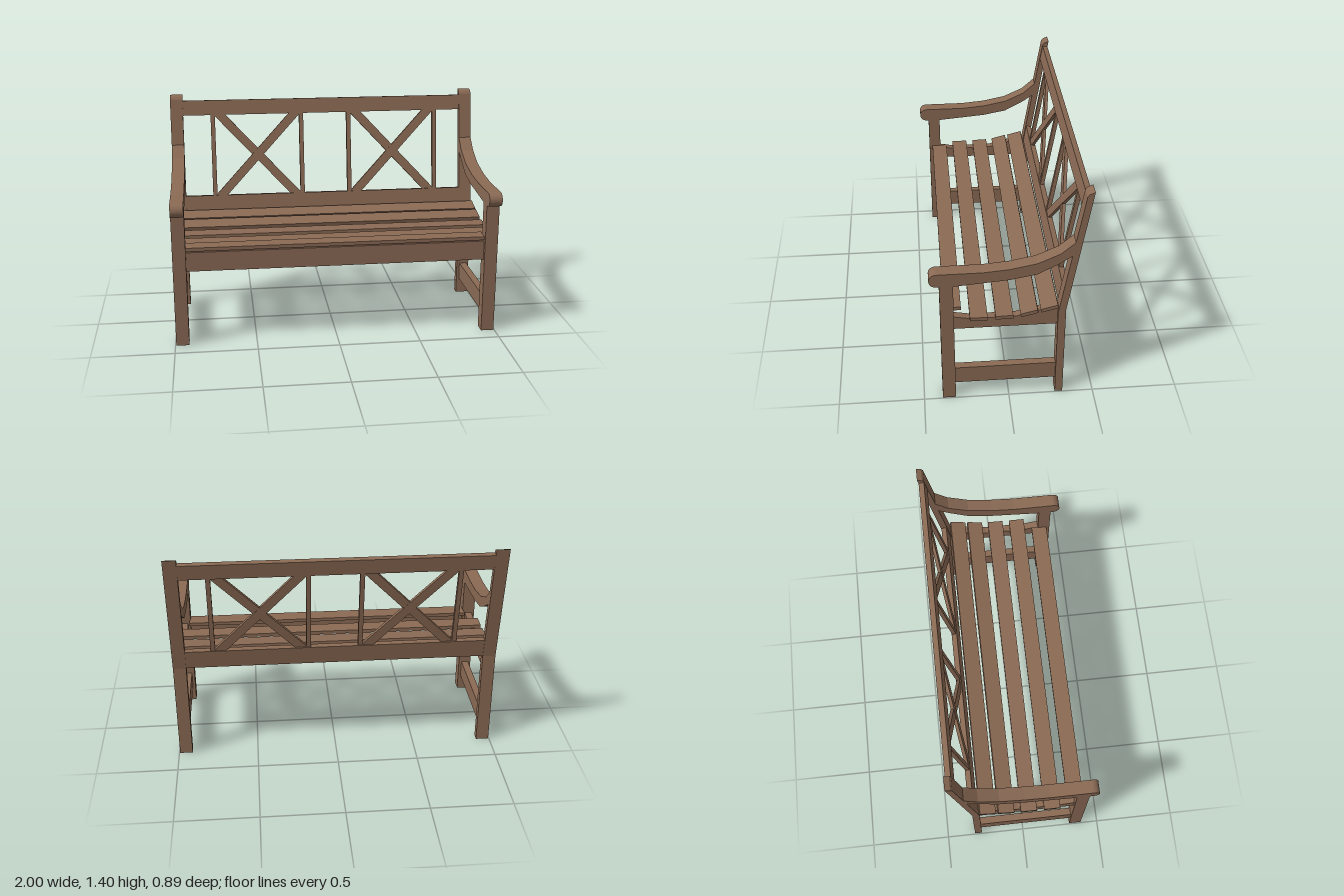
import * as THREE from 'three';

export function createModel() {
  const bench = new THREE.Group();
  bench.name = 'gardenBench';
  const wood = new THREE.MeshStandardMaterial({ color: 0x8a6a54 });
  wood.name = 'brown wood';

  const add = (name, geometry, parent = bench) => {
    const mesh = new THREE.Mesh(geometry, wood);
    mesh.name = name;
    parent.add(mesh);
    return mesh;
  };
  const outline = (points) => new THREE.Shape(points.map(([a, b]) => new THREE.Vector2(a, b)));

  // Extrude a (z, y) side profile across x, centred on the given x
  const sideProfile = (name, shape, width, x) => {
    const g = new THREE.ExtrudeGeometry(shape, { depth: width, bevelEnabled: false, curveSegments: 8 });
    g.translate(0, 0, -width / 2).rotateY(-Math.PI / 2).translate(x, 0, 0);
    return add(name, g);
  };
  const box = (name, w, h, d, x, y, z, parent) => {
    const mesh = add(name, new THREE.BoxGeometry(w, h, d), parent);
    mesh.position.set(x, y, z);
    return mesh;
  };

  // Profiles shared by both ends
  const rearPost = outline([
    [-0.32, 0], [-0.275, 0], [-0.275, 0.6], [-0.28, 0.63], [-0.404, 1.37],
    [-0.415, 1.385], [-0.445, 1.397], [-0.32, 0.62],
  ]);
  const sideRail = outline([
    [0.32, 0.51], [0.32, 0.597], [0.29, 0.592], [0.22, 0.578], [-0.04, 0.58],
    [-0.16, 0.613], [-0.28, 0.63], [-0.28, 0.51],
  ]);
  const arm = outline([
    [-0.36, 1.085], [-0.275, 1.01], [-0.15, 0.953], [0, 0.923], [0.15, 0.91], [0.405, 0.91],
  ]);
  arm.absarc(0.405, 0.8675, 0.0425, Math.PI / 2, -Math.PI / 2, true);
  [[0.31, 0.825], [0, 0.852], [-0.15, 0.88], [-0.275, 0.947], [-0.345, 0.995]]
    .forEach(([z, y]) => arm.lineTo(z, y));

  // End frames
  for (const [side, s] of [['left', 1], ['right', -1]]) {
    const x = 0.955 * s;
    box(side + 'FrontLeg', 0.08, 0.83, 0.077, x, 0.415, 0.352);
    sideProfile(side + 'RearPost', rearPost, 0.08, x);
    sideProfile(side + 'SeatRail', sideRail, 0.045, x);
    sideProfile(side + 'Armrest', arm, 0.08, x);
    box(side + 'Stretcher', 0.045, 0.112, 0.6, x, 0.156, 0.02);
  }

  // Seat: apron and slats [z, y, tilt, length]
  box('frontApron', 1.84, 0.12, 0.04, 0, 0.529, 0.345);
  [
    [0.32, 0.608, 0, 1.84],
    [0.174, 0.589, 0, 2],
    [0.029, 0.592, 0.03, 2],
    [-0.112, 0.611, 0.25, 2],
    [-0.226, 0.637, 0.25, 2],
  ].forEach(([z, y, tilt, length], i) => {
    box('seatSlat' + (i + 1), length, 0.022, 0.1, 0, y, z).rotation.x = tilt;
  });

  // Leaning backrest, its local y measured upward from the bend in the posts
  const back = new THREE.Group();
  back.name = 'backrest';
  const lean = Math.atan(0.165), base = 0.62;
  back.position.set(0, base, -0.3);
  back.rotation.x = -lean;
  back.scale.y = 1 / Math.cos(lean);
  bench.add(back);

  const low = 0.745 - base, high = 1.265 - base;
  box('lowerBackRail', 1.84, 0.12, 0.033, 0, low - 0.06, 0, back);
  box('topBackRail', 1.84, 0.095, 0.033, 0, high + 0.0475, 0, back);

  // Two crossed panels, each between a pair of uprights
  for (const [panel, cx] of [['left', 0.457], ['right', -0.435]]) {
    for (const s of [-1, 1]) {
      box(panel + 'PanelUpright', 0.028, high - low + 0.01, 0.025, cx + s * 0.289, (low + high) / 2, 0, back);
      const a = 0.245 * s, w = 0.038;
      const brace = outline([[-a - w, low], [-a + w, low], [a + w, high], [a - w, high]]);
      const g = new THREE.ExtrudeGeometry(brace, { depth: 0.02, bevelEnabled: false });
      // The second brace sits a hair back so the faces never coincide
      g.translate(cx, 0, -0.01 + s * 0.0008);
      add(panel + 'PanelBrace', g, back);
    }
  }
  return bench;
}
